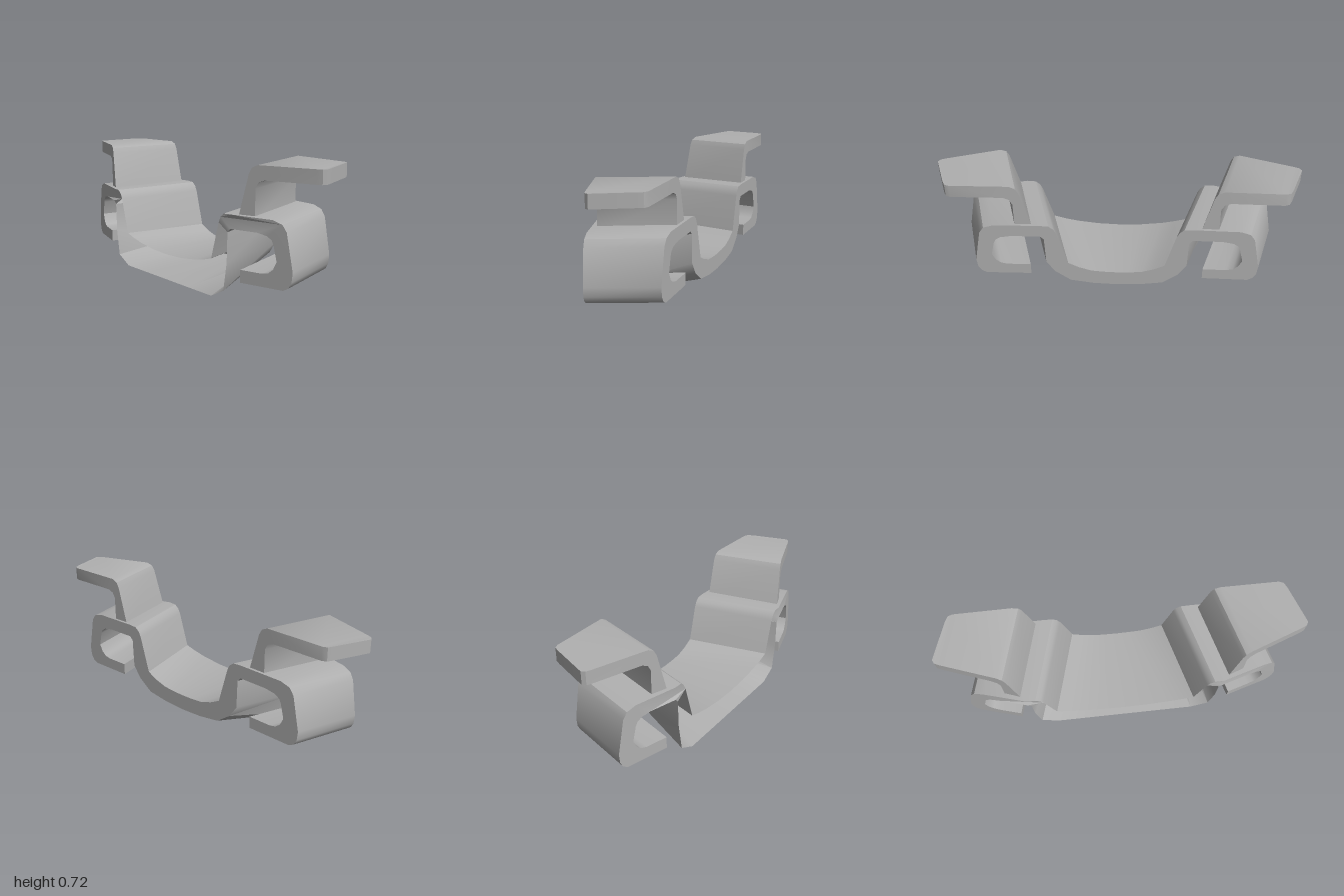
import * as THREE from 'three';
import { toCreasedNormals } from 'three/addons/utils/BufferGeometryUtils.js';

// Lofts a counter-clockwise front outline to a back outline (lists of [x, y, z]),
// closed by triangle lists that index into each outline.
function loft(front, back, frontCap, backCap) {
  const n = front.length;
  const index = [...frontCap.flat()];
  for (const [a, b, c] of backCap) index.push(n + a, n + c, n + b);
  for (let i = 0; i < n; i++) {
    const j = (i + 1) % n;
    index.push(i, n + i, n + j, i, n + j, j);
  }
  const g = new THREE.BufferGeometry();
  g.setAttribute('position', new THREE.Float32BufferAttribute([...front, ...back].flat(), 3));
  g.setIndex(index);
  return toCreasedNormals(g, 0.6);
}

// Cap over the outline points picked by ids
function cap(pts, ids) {
  const flat = ids.map((i) => new THREE.Vector2(pts[i][0], pts[i][1]));
  return THREE.ShapeUtils.triangulateShape(flat, []).map((t) => t.map((k) => ids[k]));
}

// Cap as a strip between the first and second half of an outline
function stripCap(n) {
  const out = [];
  for (let i = 0; i < n / 2 - 1; i++) out.push([i, i + 1, n - 2 - i], [i, n - 2 - i, n - 1 - i]);
  return out;
}

const mirror = ([x, y, z]) => [-x, y, z];

// Back point: slides inward and slightly up along the sweep
const sweep = ([x, y, z], zb, rise) => [x - 0.285 * (z - zb), y + rise * (z - zb), zb];

export function createModel() {
  const group = new THREE.Group();
  const grey = new THREE.MeshStandardMaterial({ color: 0xb0b0b0 });
  grey.name = 'grey';
  grey.side = THREE.DoubleSide;
  const add = (name, geometry) => {
    const mesh = new THREE.Mesh(geometry, grey);
    mesh.name = name;
    group.add(mesh);
  };

  // Saddle floor, with its own back points: [front x, y, back x, y]
  const floor = [[0, 0.145, 0, 0.16], [0.13, 0.15, 0.07, 0.162], [0.26, 0.166, 0.14, 0.168],
    [0.34, 0.183, 0.21, 0.19], [0.40, 0.20, 0.27, 0.22]];
  // Hooked clip, from the top of the wall round to the inside of the hook
  const clip = [[0.46, 0.40], [0.475, 0.43], [0.50, 0.45], [0.55, 0.453], [0.785, 0.452],
    [0.835, 0.435], [0.858, 0.40], [0.893, 0.21], [0.888, 0.16], [0.872, 0.13], [0.845, 0.114],
    [0.61, 0.114], [0.61, 0.18], [0.73, 0.18], [0.765, 0.188], [0.79, 0.21], [0.808, 0.25], [0.79, 0.33],
    [0.78, 0.352], [0.755, 0.37], [0.70, 0.38], [0.55, 0.38], [0.53, 0.36]];
  // Outer wall and underside of the saddle
  const under = [[0.525, 0.20], [0.50, 0.05, 0.345, 0.155], [0.40, 0, 0.26, 0.094],
    [0.20, 0, 0.13, 0.075], [0, 0, 0, 0.07]];

  const half = [...floor, ...clip, ...under].reverse();
  const halfFront = half.map(([x, y]) => [x, y, 0.232 - 0.29 * Math.max(0, x - 0.55)]);
  const halfBack = half.map(([, , bx, by], i) => (
    bx === undefined ? sweep(halfFront[i], -0.232, 0.05) : [bx, by, -0.232]));
  const whole = (pts) => [...pts, ...pts.slice(1, -1).reverse().map(mirror)];
  const front = whole(halfFront);
  const back = whole(halfBack);
  // The clips are closed in front; the saddle between them is hollow and open
  const clipIds = clip.map((_, i) => under.length + i);
  const frontCap = [...cap(front, clipIds), ...cap(front, clipIds.map((i) => front.length - i))];
  add('saddleWithClips', loft(front, back, frontCap, cap(back, back.map((_, i) => i))));

  // Raised tabs: leaning leg bending into a flat wing with rounded corners
  const wingEnd = { 0.965: [0.062, 0.885, -0.215], 0.99: [0.05, 0.91, -0.205], 1: [0.03, 0.925, -0.175] };
  const tab = [[0.575, 0.43], [0.63, 0.66], [0.645, 0.69], [0.675, 0.705], [0.965, 0.705], [0.99, 0.705], [1, 0.705],
    [1, 0.633], [0.99, 0.633], [0.965, 0.633], [0.71, 0.633], [0.68, 0.62], [0.665, 0.59], [0.665, 0.43]].reverse();
  const tabFront = tab.map(([x, y]) => [x, y, wingEnd[x] ? wingEnd[x][0] : 0.203 - 0.36 * (x - 0.575)]);
  const tabBack = tabFront.map((p) => {
    const end = wingEnd[p[0]];
    return end ? [end[1], p[1] + 0.009, end[2]] : sweep(p, -0.215, 0.032);
  });
  const flip = (pts) => pts.map(mirror).reverse();
  const strip = stripCap(tab.length);
  add('leftTab', loft(tabFront, tabBack, strip, strip));
  add('rightTab', loft(flip(tabFront), flip(tabBack), strip, strip));

  return group;
}
